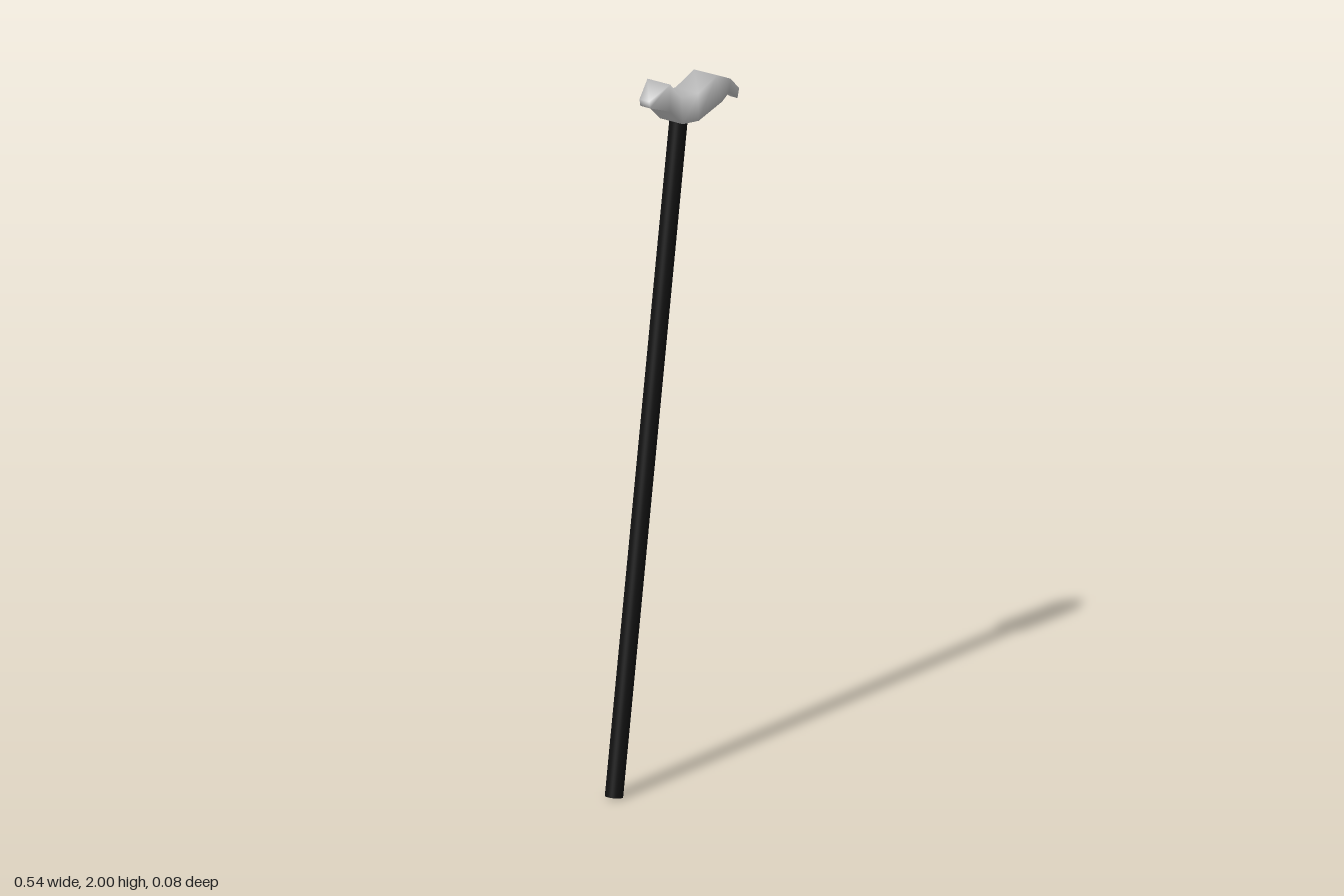
import * as THREE from 'three';

// Closed loft through four-cornered sections: [topX, topY, bottomX, bottomY, halfWidth]
function loftGeometry(sections) {
  const positions = [];
  const index = [];
  for (const [tx, ty, bx, by, w] of sections) {
    positions.push(tx, ty, w, tx, ty, -w, bx, by, -w, bx, by, w);
  }
  const last = (sections.length - 1) * 4;
  for (let s = 0; s < last; s += 4) {
    for (let j = 0; j < 4; j++) {
      const a = s + j;
      const b = s + ((j + 1) % 4);
      index.push(a, a + 4, b + 4, a, b + 4, b);
    }
  }
  index.push(0, 1, 2, 0, 2, 3);
  index.push(last, last + 2, last + 1, last, last + 3, last + 2);
  const geometry = new THREE.BufferGeometry();
  geometry.setAttribute('position', new THREE.Float32BufferAttribute(positions, 3));
  geometry.setIndex(index);
  geometry.computeVertexNormals();
  return geometry;
}

export function createModel() {
  const model = new THREE.Group();
  model.name = 'walkingCane';

  // Leaning shaft
  const foot = new THREE.Vector3(-0.247, 0.004, 0);
  const head = new THREE.Vector3(0.03, 1.885, 0);
  const axis = head.clone().sub(foot);
  const shaft = new THREE.Mesh(
    new THREE.CylinderGeometry(0.025, 0.025, axis.length(), 32),
    new THREE.MeshStandardMaterial({ color: 0x111111 })
  );
  shaft.name = 'shaft';
  shaft.position.copy(foot).add(head).multiplyScalar(0.5);
  shaft.quaternion.setFromUnitVectors(new THREE.Vector3(0, 1, 0), axis.normalize());
  model.add(shaft);

  // Curved handle, from the raised blunt end to the narrow drooping tip
  const handle = new THREE.Mesh(
    loftGeometry([
      [-0.118, 1.962, -0.114, 1.942, 0.017],
      [-0.056, 2.0, -0.056, 1.922, 0.04],
      [-0.008, 1.951, -0.003, 1.873, 0.04],
      [0.063, 1.944, 0.065, 1.865, 0.04],
      [0.142, 1.975, 0.165, 1.894, 0.04],
      [0.232, 1.937, 0.226, 1.899, 0.014],
      [0.27, 1.9, 0.263, 1.873, 0.013],
    ]),
    new THREE.MeshStandardMaterial({ color: 0xcccccc })
  );
  handle.name = 'handle';
  model.add(handle);

  return model;
}
